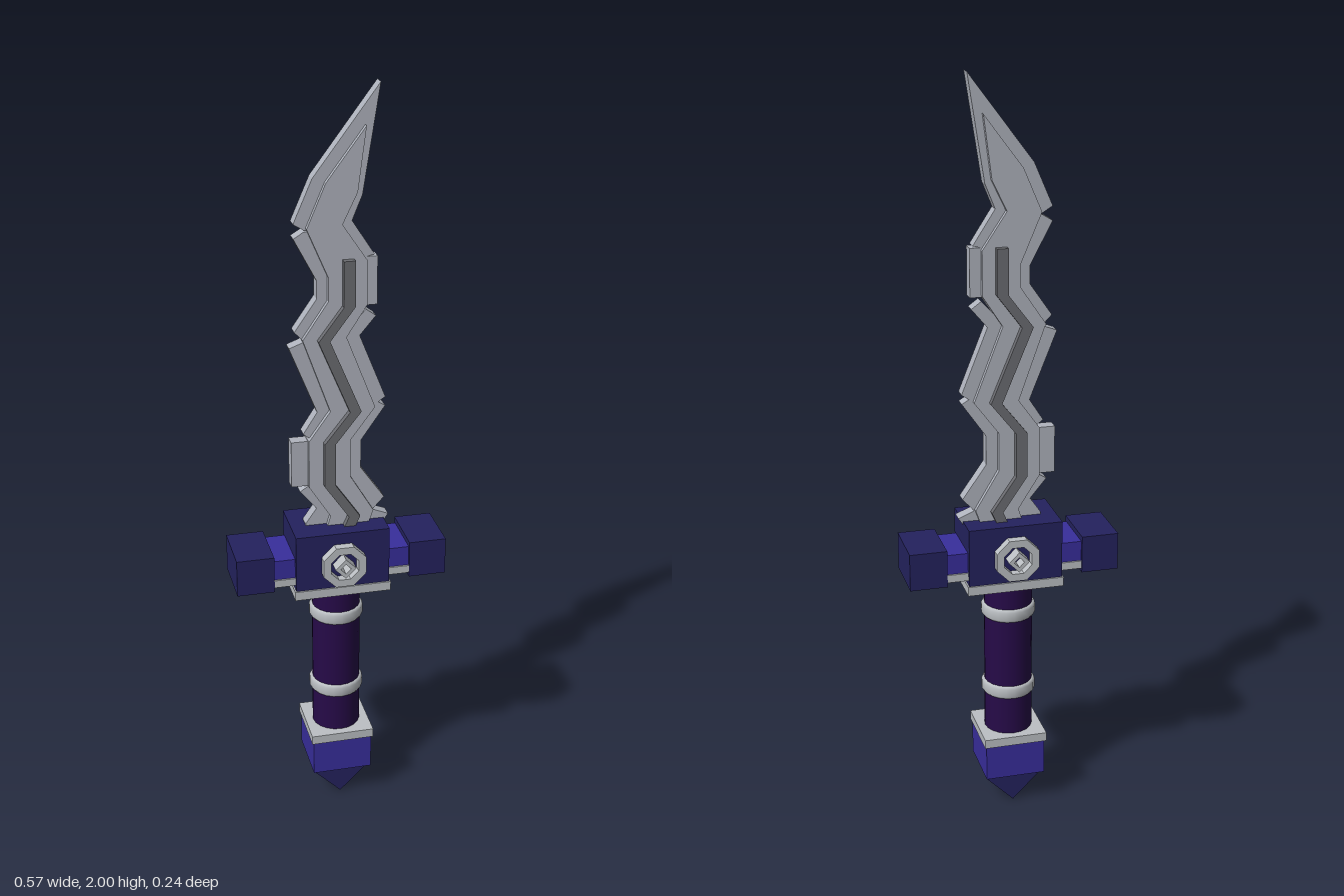
import * as THREE from 'three';

const mat = (name, color) => {
  const m = new THREE.MeshStandardMaterial({ color });
  m.name = name;
  return m;
};

export function createModel() {
  const steel = mat('steel', 0xb0b4be);
  const darkSteel = mat('darkSteel', 0x6c6d72);
  const silver = mat('silver', 0xbcc0c4);
  const navy = mat('navy', 0x24225e);
  const blue = mat('blue', 0x382e9c);
  const purple = mat('purple', 0x260a48);

  const model = new THREE.Group();
  model.name = 'waveBladeDagger';

  const add = (name, geometry, material, x = 0, y = 0, z = 0) => {
    const mesh = new THREE.Mesh(geometry, material);
    mesh.name = name;
    mesh.position.set(x, y, z);
    model.add(mesh);
    return mesh;
  };
  // Box given by its centre x, bottom, top, width and depth
  const box = (name, material, x, y0, y1, w, d) =>
    add(name, new THREE.BoxGeometry(w, y1 - y0, d), material, x, (y0 + y1) / 2, 0);
  // Flat outline extruded evenly to both sides of z = 0
  const slab = (name, material, points, halfDepth) => {
    const shape = new THREE.Shape(points.map(([x, y]) => new THREE.Vector2(x, y)));
    const g = new THREE.ExtrudeGeometry(shape, { depth: halfDepth * 2, bevelEnabled: false });
    return add(name, g.translate(0, 0, -halfDepth), material);
  };
  // Regular polygon frame with a matching hole
  const frame = (sides, outer, inner, turn, depth) => {
    const ring = (r) => Array.from({ length: sides }, (_, i) => {
      const a = turn + (i / sides) * Math.PI * 2;
      return new THREE.Vector2(Math.cos(a) * r, Math.sin(a) * r);
    });
    const shape = new THREE.Shape(ring(outer));
    shape.holes.push(new THREE.Path(ring(inner).reverse()));
    return new THREE.ExtrudeGeometry(shape, { depth, bevelEnabled: false });
  };

  // Pommel
  const point = add('pommelPoint', new THREE.BoxGeometry(0.1, 0.1, 0.11), navy, 0, 0.0707, 0);
  point.rotation.z = Math.PI / 4;
  box('pommelBlock', blue, 0, 0.09, 0.192, 0.163, 0.163);
  box('pommelPlate', silver, 0, 0.19, 0.215, 0.173, 0.173);

  // Grip with two rounded bands
  add('grip', new THREE.CylinderGeometry(0.065, 0.065, 0.46, 20), purple, 0, 0.435, 0);
  for (const y of [0.341, 0.571]) {
    const profile = [[0.06, -0.018], [0.068, -0.018], [0.073, -0.011], [0.073, 0.011], [0.068, 0.018], [0.06, 0.018]];
    add('gripBand', new THREE.LatheGeometry(profile.map(([r, h]) => new THREE.Vector2(r, h)), 20), silver, 0, y, 0);
  }

  // Guard
  box('guardPlate', silver, 0, 0.655, 0.68, 0.26, 0.176);
  box('guardBlock', navy, 0, 0.678, 0.838, 0.252, 0.167);
  for (const s of [-1, 1]) {
    box('guardArm', blue, s * 0.15, 0.712, 0.77, 0.1, 0.14);
    box('guardArmTrim', silver, s * 0.15, 0.694, 0.715, 0.1, 0.15);
    box('guardEnd', navy, s * 0.233, 0.683, 0.785, 0.1, 0.155);
    // Medallion on each face
    const z = s * 0.08;
    const octagon = add('medallionRing', frame(8, 0.062, 0.04, Math.PI / 8, 0.027), silver, 0, 0.75, z);
    const diamond = add('medallionDiamond', frame(4, 0.028, 0.014, 0, 0.038), silver, 0, 0.75, z);
    if (s < 0) octagon.rotation.y = diamond.rotation.y = Math.PI;
  }

  // Blade core: tip, then down the left side and up the right
  slab('bladeCore', steel, [
    [0.069, 1.9], [-0.032, 1.765], [-0.08, 1.653], [-0.026, 1.526], [-0.026, 1.463],
    [-0.092, 1.365], [-0.021, 1.165], [-0.078, 1.085], [-0.078, 0.955], [-0.021, 0.865], [-0.04, 0.8],
    [0.07, 0.8], [0.095, 0.87], [0.032, 0.976], [0.032, 1.08], [0.097, 1.167],
    [0.021, 1.365], [0.074, 1.447], [0.074, 1.563], [0.01, 1.659], [0.048, 1.738],
  ], 0.03);

  // Dark zigzag spine
  const spine = [[0.025, 1.57], [0.025, 1.45], [-0.04, 1.363], [0.042, 1.165], [-0.025, 1.08], [-0.025, 0.96], [0.04, 0.865], [0.02, 0.82]];
  slab('bladeSpine', darkSteel, [
    ...spine.map(([x, y]) => [x - 0.015, y]),
    ...spine.map(([x, y]) => [x + 0.015, y]).reverse(),
  ], 0.047);

  // Thin cutting edges, broken by small notches
  const edges = [
    [[0.106, 2], [-0.063, 1.775], [-0.111, 1.664], [-0.085, 1.648], [0.005, 1.63], [0.058, 1.565], [0.095, 1.574], [0.037, 1.664], [0.063, 1.728]],
    [[-0.085, 1.643], [-0.111, 1.627], [-0.053, 1.516], [-0.053, 1.468], [-0.111, 1.384], [-0.085, 1.357], [-0.069, 1.357], [-0.011, 1.458], [-0.011, 1.532], [-0.063, 1.643]],
    [[-0.09, 1.355], [-0.125, 1.342], [-0.053, 1.161], [-0.09, 1.103], [-0.063, 1.082], [-0.005, 1.161], [-0.063, 1.357]],
    [[-0.122, 1.082], [-0.122, 0.955], [-0.069, 0.955], [-0.069, 1.082]],
    [[-0.074, 0.955], [-0.1, 0.939], [-0.056, 0.886], [-0.085, 0.844], [-0.085, 0.823], [-0.015, 0.823], [-0.01, 0.87], [-0.063, 0.96]],
    [[0.058, 1.569], [0.058, 1.442], [0.103, 1.442], [0.103, 1.569]],
    [[0.074, 1.431], [0.01, 1.362], [0.074, 1.167], [0.095, 1.165], [0.127, 1.188], [0.058, 1.362], [0.1, 1.412]],
    [[0.095, 1.182], [0.079, 1.167], [0.021, 1.082], [0.021, 0.976], [0.074, 0.87], [0.095, 0.865], [0.127, 0.9], [0.063, 0.992], [0.063, 1.071], [0.127, 1.163]],
    [[0.09, 0.868], [0.06, 0.86], [0.06, 0.823], [0.122, 0.823], [0.139, 0.848]],
  ];
  for (const e of edges) slab('bladeEdge', steel, e, 0.017);

  return model;
}
